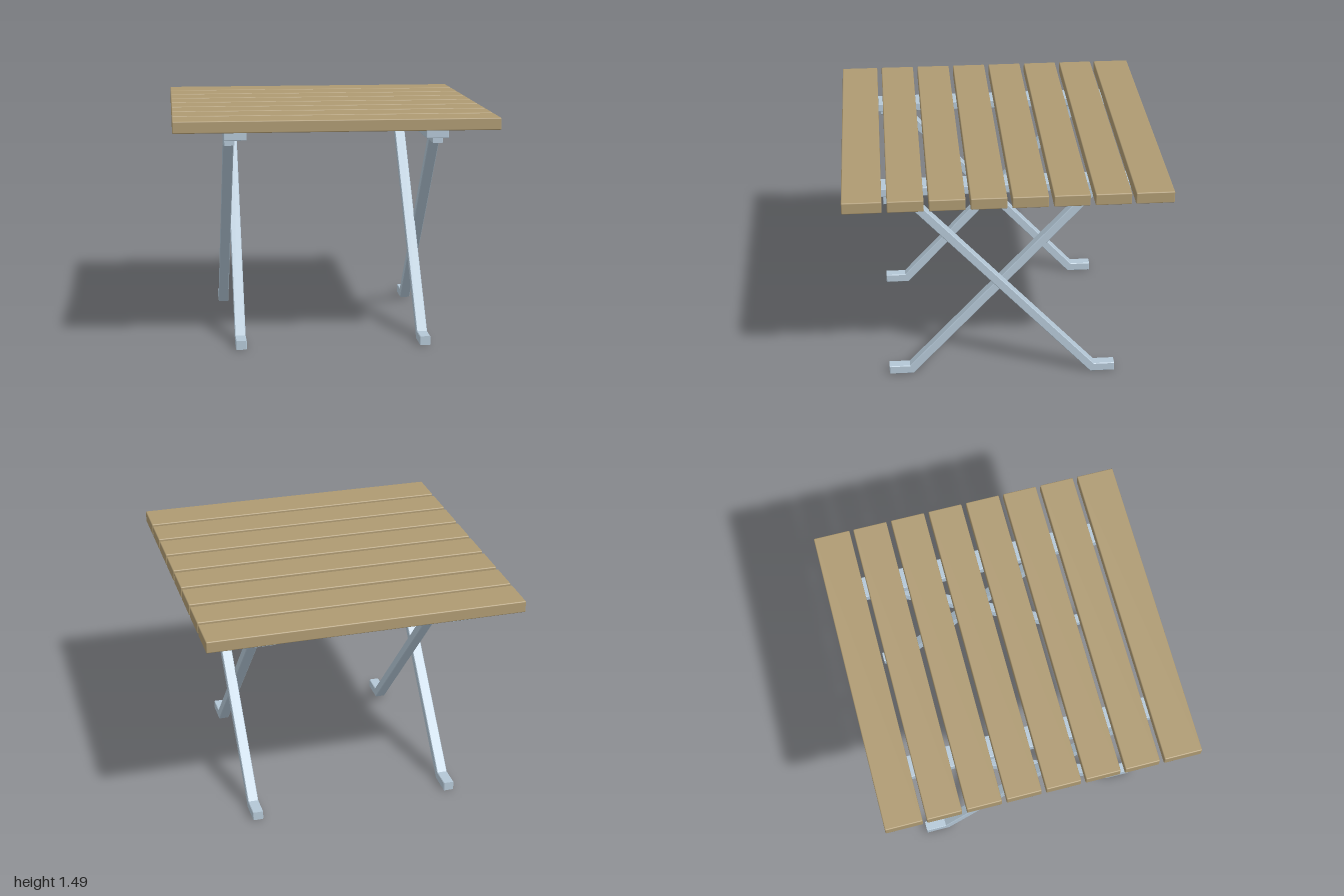
import * as THREE from 'three';
import { RoundedBoxGeometry } from 'three/addons/geometries/RoundedBoxGeometry.js';

const wood = new THREE.MeshStandardMaterial({ color: 0xae9a72 });
wood.name = 'wood';
const steel = new THREE.MeshStandardMaterial({ color: 0xb4c7d6 });
steel.name = 'painted steel';

const CENTRE_Z = 0.012; // the frame sits slightly forward of the tabletop centre

// Box given by its minimum and maximum corners, with softened edges
function box(name, material, min, max, radius) {
  const size = max.map((v, i) => v - min[i]);
  const mesh = new THREE.Mesh(new RoundedBoxGeometry(...size, 2, radius), material);
  mesh.position.set(...max.map((v, i) => (v + min[i]) / 2));
  mesh.name = name;
  return mesh;
}

// Diagonal leg with a flat foot and a flat top bracket; dir is the z side of the foot
function leg(name, dir, x0, x1) {
  const profile = [
    [0.738, 0], [0.58, 0], [-0.603, 1.3], [-0.738, 1.3],
    [-0.738, 1.355], [-0.58, 1.355], [0.603, 0.058], [0.738, 0.058],
  ].map(([z, y]) => new THREE.Vector2(z * dir, y));
  const bevel = 0.004;
  const depth = x1 - x0 - 2 * bevel;
  const geometry = new THREE.ExtrudeGeometry(new THREE.Shape(profile), {
    depth, bevelSize: bevel, bevelThickness: bevel, bevelOffset: -bevel, bevelSegments: 1,
  });
  geometry.translate(0, 0, -depth / 2);
  geometry.rotateY(-Math.PI / 2);
  const mesh = new THREE.Mesh(geometry, steel);
  mesh.position.set((x0 + x1) / 2, 0, CENTRE_Z);
  mesh.name = name;
  return mesh;
}

export function createModel() {
  const table = new THREE.Group();
  table.name = 'slattedTable';

  // Tabletop slats, the two end ones a little wider
  for (let i = 0; i < 8; i++) {
    const back = i === 0 ? -1 : -0.99 + i * 0.25;
    const front = i === 7 ? 1 : -0.765 + i * 0.25 - (i > 0 ? 0.005 : 0);
    table.add(box('slat' + (i + 1), wood, [-1, 1.41, back], [1, 1.485, front], 0.007));
  }

  // Rails and crossed legs on each side
  for (const side of [1, -1]) {
    const label = side > 0 ? 'left' : 'right';
    const span = (a, b) => (side > 0 ? [a, b] : [-b, -a]);
    const [r0, r1] = span(0.55, 0.69);
    table.add(box(label + 'Rail', steel, [r0, 1.354, -0.902], [r1, 1.41, 0.926], 0.005));
    table.add(leg(label + 'InnerLeg', 1, ...span(0.552, 0.62)));
    table.add(leg(label + 'OuterLeg', -1, ...span(0.616, 0.684)));
  }
  return table;
}
